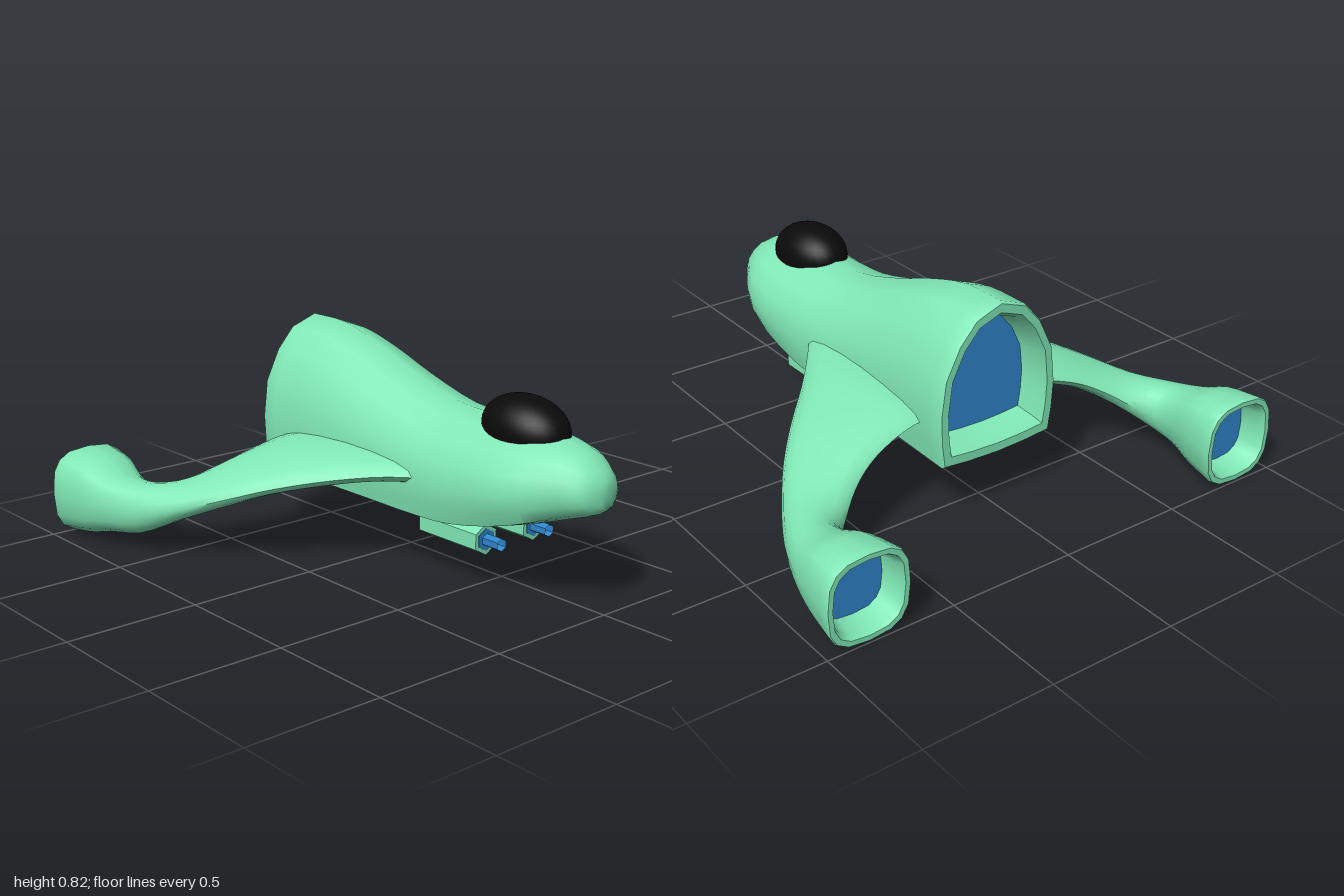
import * as THREE from 'three';
import { toCreasedNormals } from 'three/addons/utils/BufferGeometryUtils.js';

const green = new THREE.MeshStandardMaterial({ color: 0x80e8b6 });
const blue = new THREE.MeshStandardMaterial({ color: 0x2f86cc });
const blueOpen = new THREE.MeshStandardMaterial({ color: 0x2f86cc, side: THREE.DoubleSide });
const black = new THREE.MeshStandardMaterial({ color: 0x0a0a0a });

function add(parent, name, geometry, material) {
  const mesh = new THREE.Mesh(geometry, material);
  mesh.name = name;
  parent.add(mesh);
  return mesh;
}

function centre(ring) {
  const box = new THREE.Box3().setFromPoints(ring);
  return box.getCenter(new THREE.Vector3());
}

// Skin through rings of points; optional fan caps on the first and last ring
function loft(rings, { capStart = false, capEnd = false, flip = false } = {}) {
  const n = rings[0].length, pts = rings.flat(), index = [];
  const tri = (a, b, c) => (flip ? index.push(a, c, b) : index.push(a, b, c));
  for (let i = 0; i < rings.length - 1; i++) {
    for (let j = 0; j < n; j++) {
      const a = i * n + j, b = i * n + (j + 1) % n;
      tri(a, a + n, b);
      tri(b, a + n, b + n);
    }
  }
  const last = (rings.length - 1) * n;
  if (capStart) {
    pts.push(centre(rings[0]));
    for (let j = 0; j < n; j++) tri(pts.length - 1, j, (j + 1) % n);
  }
  if (capEnd) {
    pts.push(centre(rings[rings.length - 1]));
    for (let j = 0; j < n; j++) tri(pts.length - 1, last + (j + 1) % n, last + j);
  }
  const geo = new THREE.BufferGeometry().setFromPoints(pts);
  geo.setIndex(index);
  return toCreasedNormals(geo, 0.75);
}

// Extra rings interpolated along the length
function refine(rings, steps) {
  const curves = rings[0].map((_, j) => new THREE.CatmullRomCurve3(rings.map((r) => r[j])));
  const count = (rings.length - 1) * steps;
  return Array.from({ length: count + 1 }, (_, i) => curves.map((c) => c.getPoint(i / count)));
}

// Copy of a ring, scaled about its centre and moved along z
function inset(ring, scale, dz) {
  const c = centre(ring);
  return ring.map((p) => p.clone().sub(c).multiplyScalar(scale).add(c).add(new THREE.Vector3(0, 0, dz)));
}

// Rounded rim, then the inside wall of an exhaust
function exhaustRings(ring, depth) {
  return [inset(ring, 0.975, -0.01), inset(ring, 0.86, -0.01), inset(ring, 0.8, 0.015), inset(ring, 0.72, depth)];
}

// Half hull section: x as a share of half width, y as a share of height
const hullProfile = [[0, 0], [0.5, 0.008], [0.93, 0.025], [0.98, 0.18], [1, 0.36],
  [0.93, 0.6], [0.7, 0.8], [0.42, 0.935], [0, 1]];

function hullRing([z, bottom, top, half, round]) {
  const side = hullProfile.map(([px, py], i) => {
    const a = -Math.PI / 2 + (Math.PI * i) / (hullProfile.length - 1);
    const x = THREE.MathUtils.lerp(px, Math.cos(a), round);
    const y = THREE.MathUtils.lerp(py, 0.5 + 0.5 * Math.sin(a), round);
    return new THREE.Vector3(x * half, bottom + y * (top - bottom), z);
  });
  const other = side.slice(1, -1).reverse().map((p) => new THREE.Vector3(-p.x, p.y, p.z));
  return [...side, ...other];
}

// z, bottom, top, half width, roundness
const hullSections = [
  [0.99, 0.38, 0.465, 0.03, 1], [0.965, 0.355, 0.505, 0.09, 0.8], [0.88, 0.325, 0.565, 0.15, 0.6],
  [0.72, 0.275, 0.592, 0.23, 0.35], [0.45, 0.225, 0.606, 0.24, 0.1], [0.25, 0.22, 0.62, 0.24, 0],
  [0, 0.22, 0.69, 0.245, 0], [-0.2, 0.22, 0.762, 0.25, 0], [-0.4, 0.22, 0.815, 0.255, 0],
  [-0.59, 0.22, 0.82, 0.26, 0]];

// Leading x, z; trailing x, z; centre height; half thickness; squareness
const wingSections = [
  [0.18, 0.36, 0.18, -0.47, 0.375, 0.055, 0], [0.29, 0.2, 0.28, -0.475, 0.37, 0.056, 0],
  [0.42, 0.04, 0.38, -0.485, 0.345, 0.057, 0], [0.57, -0.12, 0.49, -0.51, 0.305, 0.056, 0],
  [0.69, -0.26, 0.58, -0.55, 0.255, 0.06, 0], [0.8, -0.42, 0.66, -0.61, 0.2, 0.072, 0],
  [0.89, -0.58, 0.72, -0.67, 0.165, 0.098, 0.3], [0.95, -0.74, 0.72, -0.74, 0.165, 0.115, 0.6],
  [0.975, -0.85, 0.695, -0.85, 0.172, 0.15, 0.8], [0.995, -0.985, 0.67, -0.985, 0.17, 0.168, 0.8]];

function wingRing([lx, lz, tx, tz, y, h, square], side) {
  const bulge = (v) => Math.sign(v) * Math.abs(v) ** (1 - 0.4 * square);
  return Array.from({ length: 16 }, (_, j) => {
    const a = (j / 16) * Math.PI * 2;
    const t = 0.5 + 0.5 * bulge(Math.cos(a));
    return new THREE.Vector3(side * (tx + (lx - tx) * t), y + h * bulge(Math.sin(a)), tz + (lz - tz) * t);
  });
}

function exhaustPanel(ring, flip) {
  return loft([inset(ring, 0.5, 0), ring].reverse(), { capEnd: true, flip });
}

export function createModel() {
  const model = new THREE.Group();
  model.name = 'spaceship';

  // Hull with an open tail
  const hullRings = refine(hullSections.map(hullRing), 3);
  const tail = exhaustRings(hullRings[hullRings.length - 1], 0.09);
  add(model, 'hull', loft([...hullRings, ...tail], { capStart: true }), green);
  add(model, 'mainExhaust', exhaustPanel(tail[3], false), blue);

  // Canopy
  const canopy = add(model, 'canopy', new THREE.SphereGeometry(1, 32, 20), black);
  canopy.scale.set(0.128, 0.118, 0.184);
  canopy.position.set(0, 0.588, 0.61);
  canopy.rotation.x = 0.08;

  for (const side of [1, -1]) {
    const label = side > 0 ? 'left' : 'right';
    const flip = side < 0;

    // Swept wing flowing into its engine pod
    const rings = refine(wingSections.map((s) => wingRing(s, side)), 3);
    const mouth = exhaustRings(rings[rings.length - 1], 0.09);
    add(model, label + 'Wing', loft([...rings, ...mouth], { capStart: true, flip }), green);
    add(model, label + 'WingExhaust', exhaustPanel(mouth[3], flip), blue);

    // Hexagonal gun under the hull
    const gun = new THREE.Group();
    gun.name = label + 'Gun';
    gun.position.set(side * 0.12, 0.182, 0);
    const prism = (name, r, z0, z1, material, open = false) => {
      const geo = new THREE.CylinderGeometry(r, r, z1 - z0, 6, 1, open).rotateX(Math.PI / 2);
      add(gun, name, toCreasedNormals(geo, 0.5), material).position.z = (z0 + z1) / 2;
    };
    prism('gunPod', 0.058, 0.24, 0.54, green);
    prism('gunCollar', 0.042, 0.5, 0.543, blue);
    prism('gunBarrel', 0.024, 0.52, 0.62, blueOpen, true);
    model.add(gun);
  }
  return model;
}
